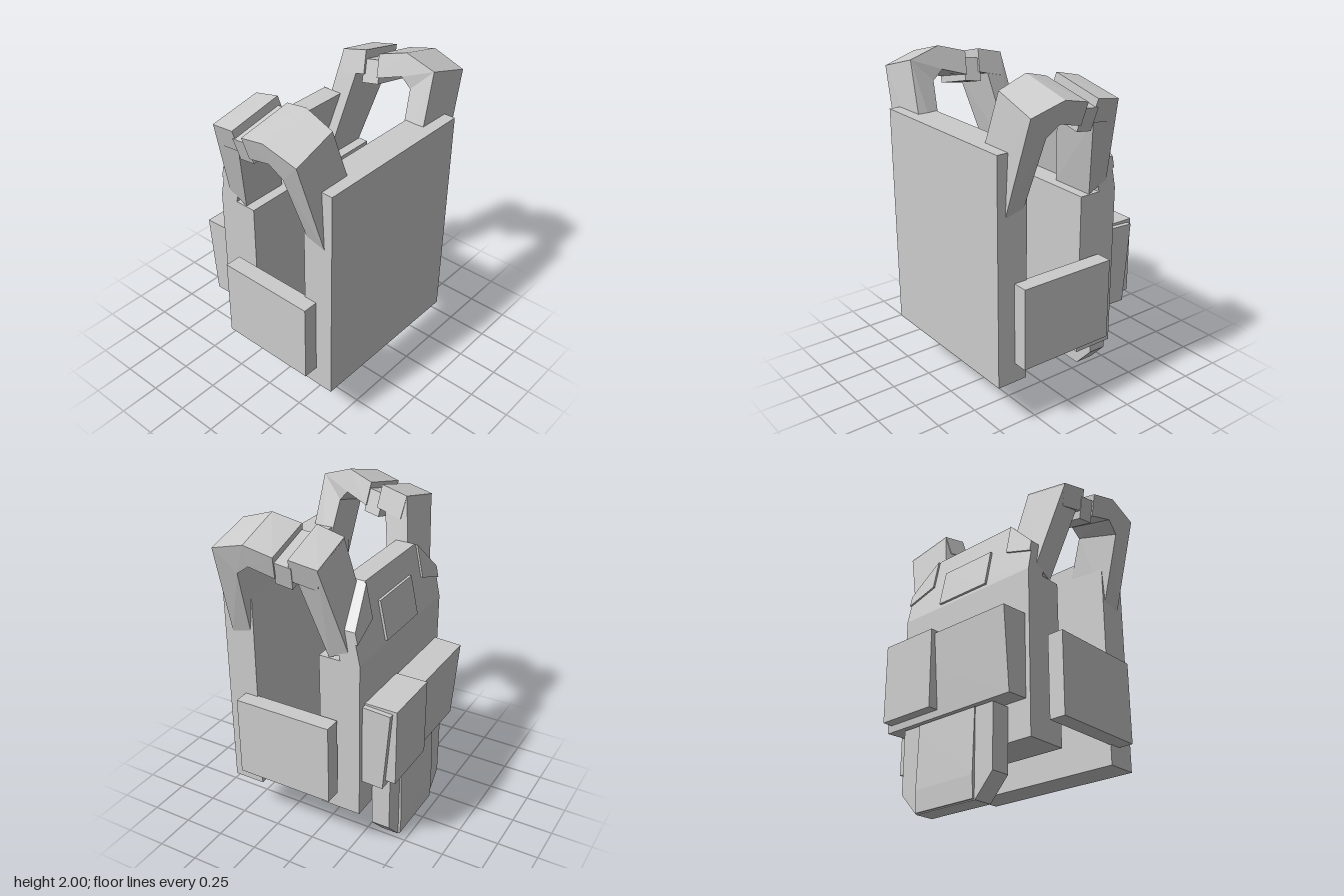
import * as THREE from 'three';
import { ConvexGeometry } from 'three/addons/geometries/ConvexGeometry.js';

export function createModel() {
  const model = new THREE.Group();
  const material = new THREE.MeshStandardMaterial({ color: 0xcccccc, flatShading: true });

  const add = (name, geometry) => {
    const mesh = new THREE.Mesh(geometry, material);
    mesh.name = name;
    model.add(mesh);
    return mesh;
  };
  // Box from its minimum and maximum corners
  const box = (name, x0, x1, y0, y1, z0, z1) => add(name,
    new THREE.BoxGeometry(x1 - x0, y1 - y0, z1 - z0)
      .translate((x0 + x1) / 2, (y0 + y1) / 2, (z0 + z1) / 2));
  // Faceted solid from its corners
  const solid = (name, points, side = 1) => add(name,
    new ConvexGeometry(points.map(([x, y, z]) => new THREE.Vector3(x * side, y, z))));
  // Outline in x/y, extruded between z0 and z1
  const plate = (name, outline, z0, z1) => {
    const shape = new THREE.Shape(outline.map(([x, y]) => new THREE.Vector2(x, y)));
    const geometry = new THREE.ExtrudeGeometry(shape, { depth: z1 - z0, bevelEnabled: false });
    return add(name, geometry.translate(0, 0, z0));
  };
  // Plate leaning forward with the upper back
  const leaningPlate = (name, outline, z0, z1) => {
    const mesh = plate(name, outline, z0, z1);
    const p = mesh.geometry.attributes.position;
    for (let i = 0; i < p.count; i++) p.setZ(i, p.getZ(i) + (p.getY(i) - 1.28) * 0.21);
    mesh.geometry.computeVertexNormals();
  };

  // Main panels
  box('frontPanel', -0.52, 0.52, 0.3, 1.65, 0.33, 0.52);
  box('backPanel', -0.49, 0.49, 0.3, 1.28, -0.32, -0.07);
  leaningPlate('upperBack', [[-0.49, 1.28], [0.49, 1.28], [0.49, 1.47],
    [0.29, 1.67], [-0.29, 1.67], [-0.49, 1.47]], -0.32, -0.2);
  leaningPlate('backPatch', [[-0.17, 1.3], [0.2, 1.3], [0.2, 1.53], [-0.17, 1.53]], -0.335, -0.31);

  // Back pouches
  const pack = [];
  for (const x of [-0.46, 0.46]) {
    pack.push([x, 1.01, -0.31], [x, 1.0, -0.49], [x, 0.51, -0.45], [x, 0.515, -0.31]);
  }
  solid('backPack', pack);
  box('smallBackPouch', 0.06, 0.43, 0.55, 1.02, -0.515, -0.31);

  // Hanging pouch with cut lower corners and a raised middle
  plate('lowerPouch', [[-0.335, 0.5], [-0.335, 0.13], [-0.215, 0], [0.215, 0],
    [0.335, 0.13], [0.335, 0.5]], -0.435, -0.32);
  const middle = [];
  for (const x of [-0.21, 0.21]) {
    middle.push([x, 0.5, -0.42], [x, 0.5, -0.44], [x, 0.13, -0.452], [x, 0.005, -0.447], [x, 0.005, -0.42]);
  }
  solid('lowerPouchMiddle', middle);

  // Shoulder sections: inner top edge, then outer top edge; dz shifts the underside
  const section = (inner, outer, dz = 0) => [inner, outer,
    ...[inner, outer].map(([x, y, z]) => [x - 0.035, y - 0.13, z + dz])];
  const corner = section([0.415, 1.94, 0.43], [0.685, 1.86, 0.44], -0.125);
  const crest = section([0.405, 2.0, 0.25], [0.697, 1.92, 0.235]);
  const padEnd = section([0.37, 1.955, 0.09], [0.68, 1.88, 0.07], 0.015);
  const linkStart = section([0.37, 1.92, 0.1], [0.66, 1.845, 0.08], 0.015);
  const linkEnd = section([0.355, 1.905, 0], [0.655, 1.83, -0.02], 0.015);
  const rearStart = section([0.355, 1.96, 0.01], [0.665, 1.88, -0.01], 0.015);
  const rearEnd = section([0.35, 1.92, -0.15], [0.645, 1.85, -0.17], 0.02);

  for (const [label, s] of [['left', 1], ['right', -1]]) {
    box(label + 'SidePouch', s > 0 ? 0.51 : -0.61, s > 0 ? 0.61 : -0.51, 0.42, 0.91, -0.19, 0.41);

    // Shoulder strap, from the chest over to the back
    solid(label + 'FrontStrap', [...corner,
      [0.22, 1.33, 0.47], [0.52, 1.3, 0.47], [0.22, 1.36, 0.35], [0.52, 1.33, 0.35]], s);
    solid(label + 'StrapBend', [...corner, ...crest], s);
    solid(label + 'FrontShoulderPad', [...crest, ...padEnd], s);
    solid(label + 'ShoulderLink', [...linkStart, ...linkEnd], s);
    solid(label + 'RearShoulderPad', [...rearStart, ...rearEnd], s);
    solid(label + 'BackStrap', [
      [0.35, 1.91, -0.15], [0.643, 1.84, -0.168], [0.32, 1.82, -0.03], [0.61, 1.74, -0.03],
      [0.22, 1.3, -0.25], [0.49, 1.34, -0.25], [0.2, 1.28, -0.13], [0.485, 1.28, -0.13]], s);

    // Triangular flap where the strap meets the back
    const flap = [[0.3, 1.665], [0.3, 1.47], [0.49, 1.4], [0.49, 1.47]].map(([x, y]) => [x * s, y]);
    leaningPlate(label + 'StrapFlap', flap, -0.332, -0.3);
  }
  return model;
}
